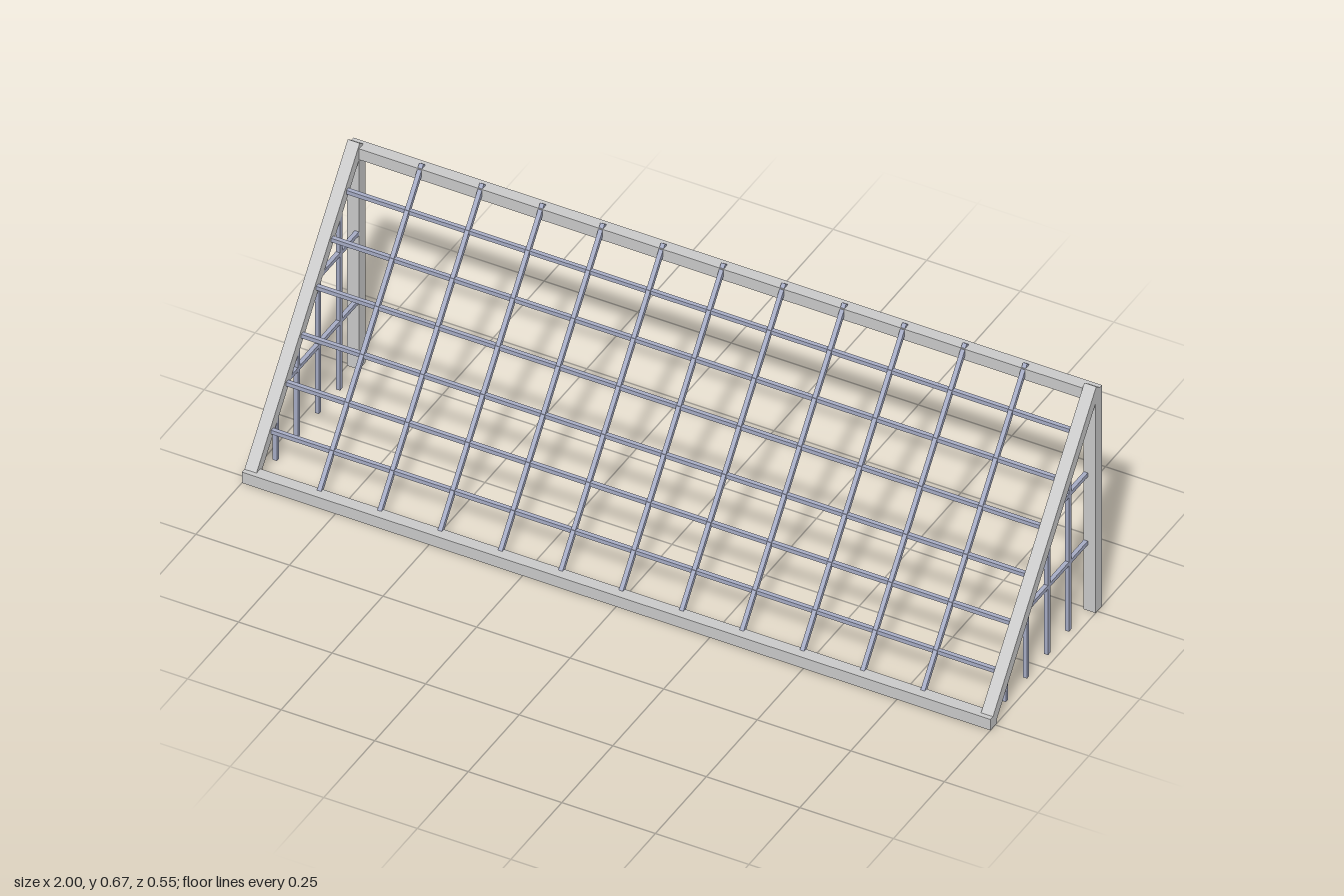
import * as THREE from 'three';

export function createModel() {
  const group = new THREE.Group();
  const frameMat = new THREE.MeshStandardMaterial({ color: 0xcccccc });
  const rodMat = new THREE.MeshStandardMaterial({ color: 0xa7adc6 });
  const T = 0.032; // frame thickness
  const R = 0.0112; // rod thickness
  const X = 1 - T / 2;
  const Z = 0.258;
  const RISE = 0.646;
  const V = (x, y, z) => new THREE.Vector3(x, y, z);
  // Point on the sloping plane, t = 0 at the front bar, 1 at the crossbar
  const slope = (x, t, drop = 0) => V(x, 0.012 + RISE * t - drop, 0.26 - 2 * Z * t);
  const slopeY = (z) => 0.012 + RISE * (0.26 - z) / (2 * Z);
  const slopeZ = (y) => 0.26 - 2 * Z * (y - 0.012) / RISE;

  function box(name, w, h, d, position, material = frameMat) {
    const mesh = new THREE.Mesh(new THREE.BoxGeometry(w, h, d), material);
    mesh.name = name;
    mesh.position.copy(position);
    group.add(mesh);
    return mesh;
  }
  // Square rod between two points
  function rod(name, a, b) {
    const dir = b.clone().sub(a);
    const mesh = box(name, R, dir.length(), R, a.clone().lerp(b, 0.5), rodMat);
    mesh.quaternion.setFromUnitVectors(V(0, 1, 0), dir.normalize());
  }

  // Long bars
  box('crossbar', 2, T, T, V(0, 0.636, -Z));
  box('groundBar', 2, T, T, V(0, T / 2, Z));

  for (const s of [-1, 1]) {
    const x = s * X;
    const side = s > 0 ? 'left' : 'right';
    // Upright post and sloping brace
    box(side + 'Post', T, 0.652, T, V(x, 0.326, -Z));
    const brace = box(side + 'Brace', T, Math.hypot(RISE, 2 * Z), 0.027, slope(x, 0.5));
    brace.rotation.x = -Math.atan2(2 * Z, RISE);
    // Side grid, set slightly inside the frame
    const gridX = s * 0.974;
    for (let i = 1; i <= 4; i++) {
      const z = Z - (2 * Z * i) / 5;
      rod(side + 'UprightRod', V(gridX, 0, z), V(gridX, slopeY(z), z));
    }
    for (const y of [0.2, 0.401]) {
      rod(side + 'LevelRod', V(gridX, y, -Z), V(gridX, y, slopeZ(y)));
    }
  }

  // Sloping grid
  for (let i = -5; i <= 5; i++) {
    rod('slopingRod', slope(i * 0.1613, 0), slope(i * 0.1613, 1));
  }
  for (let i = 1; i <= 6; i++) {
    const t = i / 7 + 0.005;
    rod('crossRod', slope(-X, t, 0.003), slope(X, t, 0.003));
  }
  return group;
}
